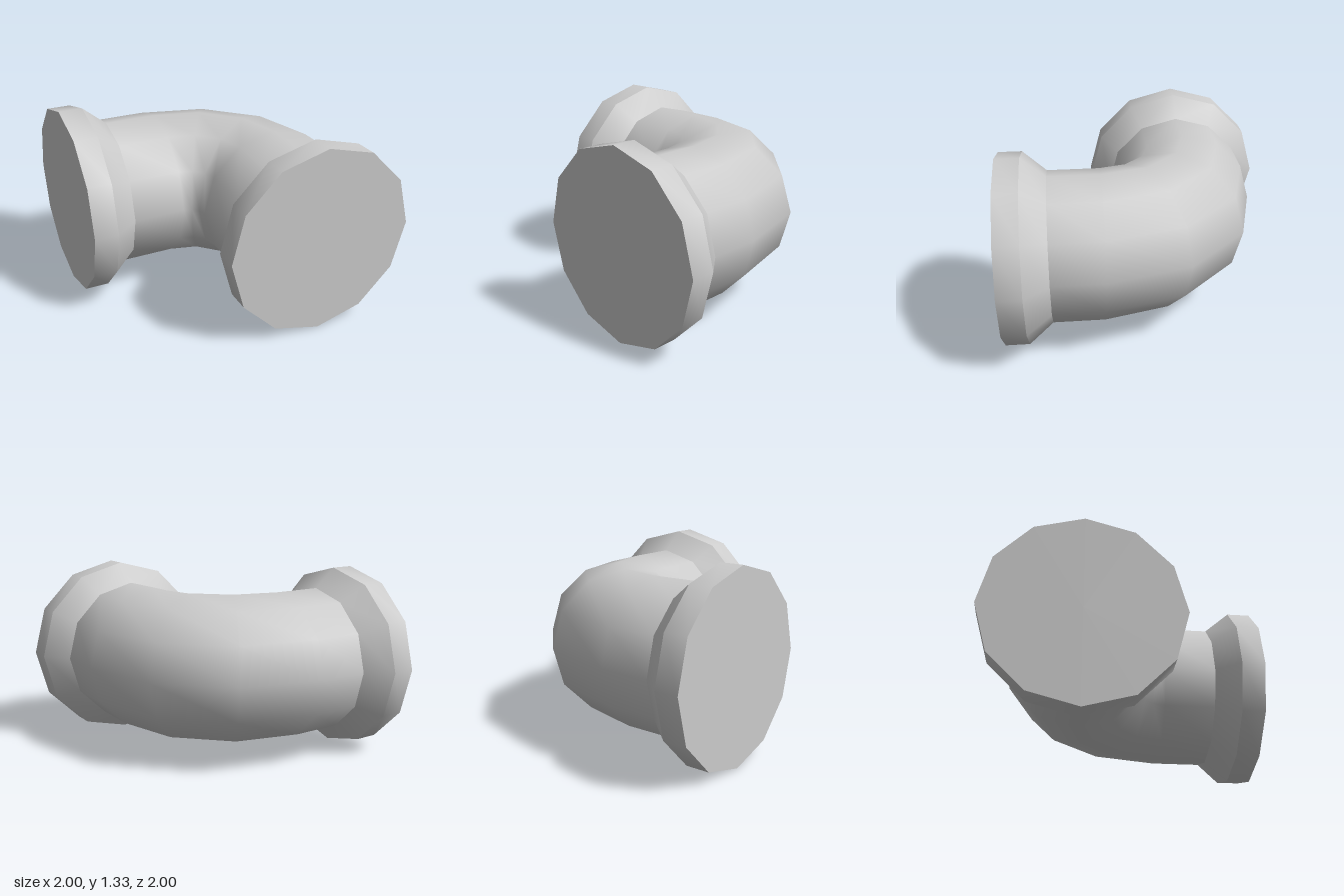
import * as THREE from 'three';

const SIDES = 12;
const PIPE_R = 0.528, RIM_R = 0.667;
const BEND = { x: -0.305, z: 0.305, radius: 0.638 };
const AXIS_Y = 0.667;

// Skin a run of rings; each is [bend angle, distance along the tangent, ring radius].
function loft(sections) {
  const pos = [], index = [];
  for (const [a, s, r] of sections) {
    for (let j = 0; j < SIDES; j++) {
      const t = (j / SIDES) * Math.PI * 2;
      const d = BEND.radius + r * Math.cos(t);
      pos.push(
        BEND.x + d * Math.sin(a) + s * Math.cos(a),
        AXIS_Y + r * Math.sin(t),
        BEND.z - d * Math.cos(a) + s * Math.sin(a));
    }
  }
  for (let i = 0; i < sections.length - 1; i++) {
    for (let j = 0; j < SIDES; j++) {
      const k = (j + 1) % SIDES;
      const a = i * SIDES + j, b = i * SIDES + k;
      index.push(a, b, b + SIDES, a, b + SIDES, a + SIDES);
    }
  }
  const g = new THREE.BufferGeometry();
  g.setAttribute('position', new THREE.Float32BufferAttribute(pos, 3));
  g.setIndex(index);
  g.computeVertexNormals();
  return g;
}

export function createModel() {
  const group = new THREE.Group();
  const material = new THREE.MeshStandardMaterial({ color: 0xcccccc });
  const add = (parent, name, sections) => {
    const mesh = new THREE.Mesh(loft(sections), material);
    mesh.name = name;
    parent.add(mesh);
  };

  // Pipe: straight, quarter bend in three steps, straight
  const quarter = Math.PI / 2;
  const bend = [0, 1, 2, 3].map(i => [quarter * i / 3, 0, PIPE_R]);
  add(group, 'elbowPipe', [[0, -0.362, PIPE_R], ...bend, [quarter, 0.362, PIPE_R]]);

  // Collars: cone, rim and closed face, as separate bands for hard edges
  for (const [name, angle, dir] of [['sideCollar', 0, -1], ['frontCollar', quarter, 1]]) {
    const collar = new THREE.Group();
    collar.name = name;
    const rings = [[0.362, PIPE_R], [0.528, RIM_R], [0.695, RIM_R], [0.695, 0]]
      .map(([s, r]) => [angle, s * dir, r]);
    ['cone', 'rim', 'endFace'].forEach((part, i) => {
      const band = [rings[i], rings[i + 1]];
      add(collar, part, dir > 0 ? band : band.reverse());
    });
    group.add(collar);
  }
  return group;
}
